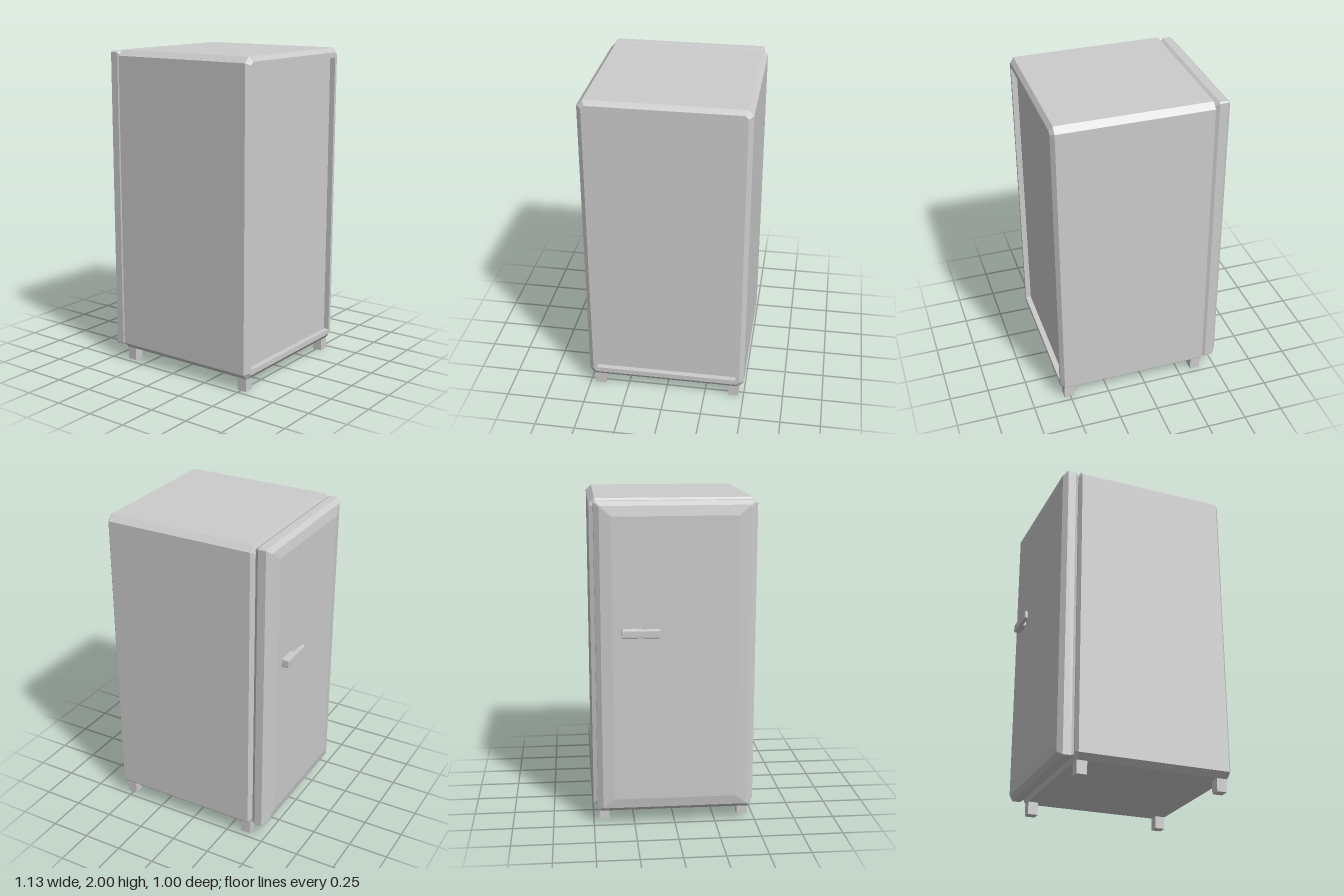
import * as THREE from 'three';

const material = new THREE.MeshStandardMaterial({ color: 0xcccccc });
const MID_Y = 1.04; // centre height of cabinet and door

// Lofts chamfered rectangles along x; each section is [x, half height, half depth, corner cut].
function loft(name, sections) {
  const rings = sections.map(([x, h, d, c]) => [
    [h, -d + c], [h, d - c], [h - c, d], [-h + c, d],
    [-h, d - c], [-h, -d + c], [-h + c, -d], [h - c, -d],
  ].map(([y, z]) => [x, MID_Y + y, z]));
  const pos = [];
  const tri = (a, b, c) => pos.push(...a, ...b, ...c);
  for (let s = 0; s < rings.length - 1; s++) {
    const a = rings[s], b = rings[s + 1];
    for (let i = 0; i < 8; i++) {
      const j = (i + 1) % 8;
      tri(a[i], a[j], b[j]);
      tri(a[i], b[j], b[i]);
    }
  }
  // end caps
  const first = rings[0], last = rings[rings.length - 1];
  for (let i = 1; i < 7; i++) {
    tri(first[0], first[i + 1], first[i]);
    tri(last[0], last[i], last[i + 1]);
  }
  const geometry = new THREE.BufferGeometry();
  geometry.setAttribute('position', new THREE.Float32BufferAttribute(pos, 3));
  geometry.computeVertexNormals();
  const mesh = new THREE.Mesh(geometry, material);
  mesh.name = name;
  return mesh;
}

// Lever handle: mounting block plus a round-ended grip, drawn in plan and extruded upward
function makeHandle() {
  const shape = new THREE.Shape();
  shape.moveTo(-0.518, 0.316);
  shape.lineTo(-0.561, 0.316);
  shape.lineTo(-0.561, 0.105);
  shape.absarc(-0.5525, 0.1025, 0.0085, Math.PI, Math.PI * 2, false);
  shape.lineTo(-0.544, 0.204);
  shape.lineTo(-0.518, 0.204);
  shape.closePath();
  const geometry = new THREE.ExtrudeGeometry(shape, {
    depth: 0.032, bevelEnabled: true, bevelThickness: 0.01,
    bevelSize: 0.004, bevelSegments: 2, curveSegments: 8,
  });
  geometry.rotateX(-Math.PI / 2);
  geometry.translate(0, 1.204, 0);
  const mesh = new THREE.Mesh(geometry, material);
  mesh.name = 'doorHandle';
  return mesh;
}

export function createModel() {
  const group = new THREE.Group();
  group.name = 'refrigerator';

  // Cabinet with bevelled rims and a recessed panel on the +x side
  group.add(loft('cabinet', [
    [-0.415, 0.93, 0.47, 0.02],
    [-0.4, 0.96, 0.5, 0.035],
    [0.543, 0.96, 0.5, 0.035],
    [0.565, 0.932, 0.472, 0.02],
    [0.565, 0.9, 0.45, 0.001],
    [0.53, 0.9, 0.45, 0.001],
  ]));

  // Door with a gently bowed outer face and a tapered seal edge
  group.add(loft('door', [
    [-0.522, 0.865, 0.375, 0.004],
    [-0.511, 0.925, 0.443, 0.006],
    [-0.485, 0.95, 0.475, 0.008],
    [-0.435, 0.95, 0.475, 0.008],
    [-0.412, 0.935, 0.46, 0.008],
  ]));

  group.add(makeHandle());

  // Square feet
  for (const x of [-0.367, 0.507]) {
    for (const z of [-0.434, 0.434]) {
      const foot = new THREE.Mesh(new THREE.BoxGeometry(0.063, 0.1, 0.063), material);
      foot.name = 'foot';
      foot.position.set(x, 0.05, z);
      group.add(foot);
    }
  }
  return group;
}
